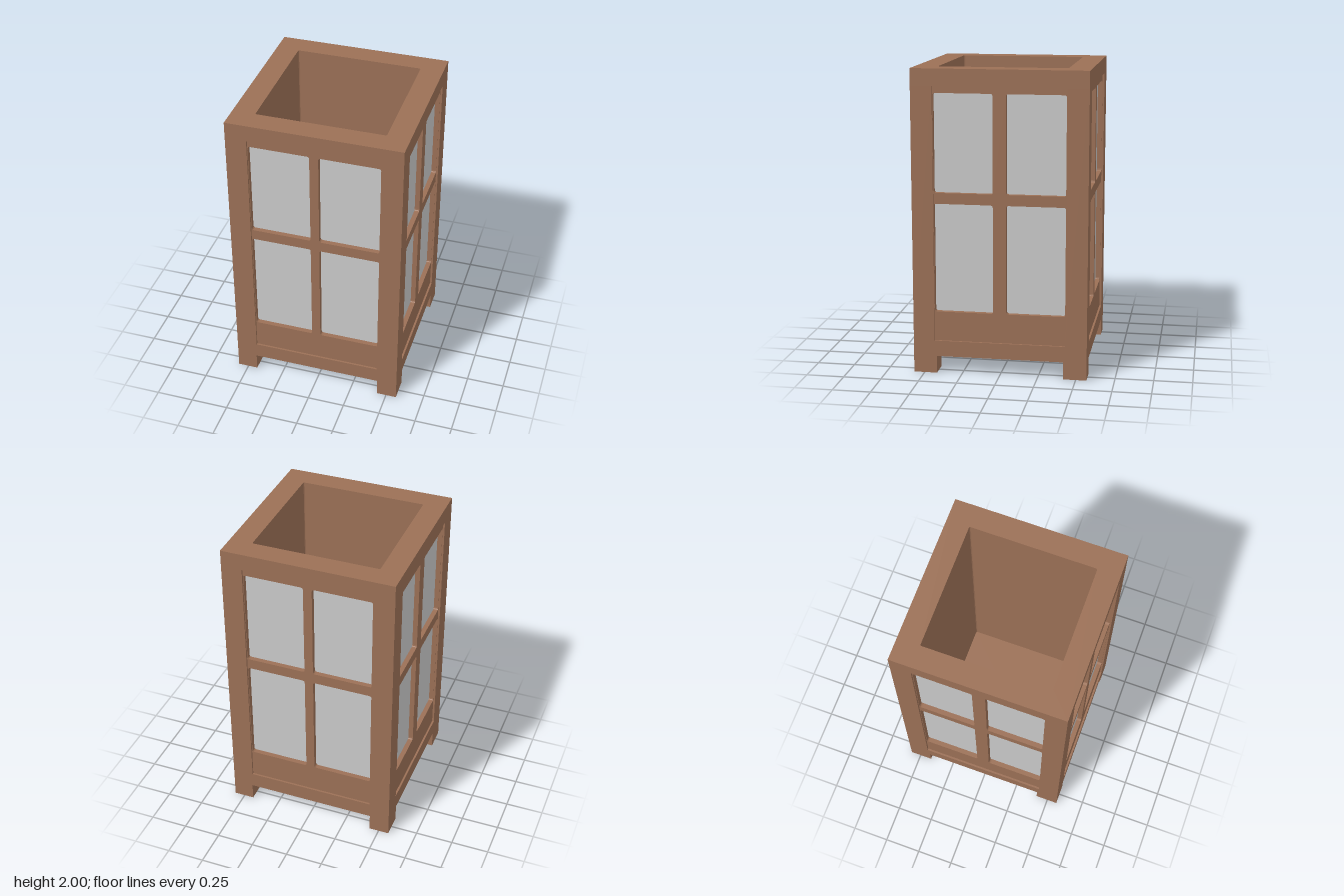
import * as THREE from 'three';

const HALF = 0.57, HOLE = 0.42, POST = 0.43;      // outer half width, cavity, inner edge of posts
const BASE_Y = 0.115, RAIL_Y = 0.22, CAP_Y = 1.89, TOP_Y = 2;
const PANEL_Z = 0.557, GLASS_Z = 0.525;           // recessed lattice face and glass face

// Rounded rectangle outline, usable as a shape or a hole
function roundedRect(x0, y0, x1, y1, r, Type = THREE.Shape) {
  const s = new Type();
  s.moveTo(x0 + r, y0);
  s.lineTo(x1 - r, y0);
  s.quadraticCurveTo(x1, y0, x1, y0 + r);
  s.lineTo(x1, y1 - r);
  s.quadraticCurveTo(x1, y1, x1 - r, y1);
  s.lineTo(x0 + r, y1);
  s.quadraticCurveTo(x0, y1, x0, y1 - r);
  s.lineTo(x0, y0 + r);
  s.quadraticCurveTo(x0, y0, x0 + r, y0);
  return s;
}

function rect(x0, y0, x1, y1) {
  const s = new THREE.Shape();
  s.moveTo(x0, y0).lineTo(x1, y0).lineTo(x1, y1).lineTo(x0, y1).closePath();
  return s;
}

// Square tube standing upright between two heights
function squareTube(half, y0, y1) {
  const s = rect(-half, -half, half, half);
  s.holes.push(roundedRect(-HOLE, -HOLE, HOLE, HOLE, 0.01, THREE.Path));
  const g = new THREE.ExtrudeGeometry(s, { depth: y1 - y0, bevelEnabled: false, curveSegments: 3 });
  return g.rotateX(-Math.PI / 2).translate(0, y0, 0);
}

export function createModel() {
  const wood = new THREE.MeshStandardMaterial({ color: 0x9b7056 });
  wood.name = 'wood';
  const pane = new THREE.MeshStandardMaterial({ color: 0xc9c9c9 });
  pane.name = 'frostedGlass';

  const model = new THREE.Group();
  model.name = 'lantern';
  const add = (parent, name, geometry, material) => {
    const m = new THREE.Mesh(geometry, material);
    m.name = name;
    parent.add(m);
    return m;
  };

  // Base slab, inner walls and top rim
  const base = add(model, 'base', new THREE.BoxGeometry(2 * HALF, RAIL_Y - BASE_Y, 2 * HALF), wood);
  base.position.y = (BASE_Y + RAIL_Y) / 2;
  add(model, 'innerWalls', squareTube(GLASS_Z - 0.006, RAIL_Y, CAP_Y), wood);
  add(model, 'topRim', squareTube(HALF, CAP_Y, TOP_Y), wood);

  // Corner posts and feet
  const postW = HALF - POST, footX = 0.135, footZ = 0.153;
  for (const sx of [-1, 1]) for (const sz of [-1, 1]) {
    const post = add(model, 'cornerPost', new THREE.BoxGeometry(postW, CAP_Y - RAIL_Y, postW), wood);
    post.position.set(sx * (HALF - postW / 2), (CAP_Y + RAIL_Y) / 2, sz * (HALF - postW / 2));
    const foot = add(model, 'foot', new THREE.BoxGeometry(footX, BASE_Y, footZ), wood);
    foot.position.set(sx * (HALF - footX / 2), BASE_Y / 2, sz * (HALF - footZ / 2));
  }

  // Four window sides; the side bars are wider than the front and back bars
  ['front', 'left', 'back', 'right'].forEach((name, i) => {
    const side = new THREE.Group();
    side.name = name + 'Window';
    side.rotation.y = i * Math.PI / 2;
    model.add(side);

    const bar = i % 2 ? 0.043 : 0.029;
    const lattice = rect(-POST, RAIL_Y, POST, CAP_Y);
    for (const [y0, y1] of [[0.415, 1.132], [1.203, 1.845]]) {
      for (const [x0, x1] of [[-0.427, -bar], [bar, 0.427]]) {
        lattice.holes.push(roundedRect(x0, y0, x1, y1, 0.015, THREE.Path));
        const w = x1 - x0 + 0.004, h = y1 - y0 + 0.02;
        const glass = add(side, 'glassPane', new THREE.BoxGeometry(w, h, 0.006), pane);
        glass.position.set((x0 + x1) / 2, (y0 + y1) / 2, GLASS_Z - 0.003);
      }
    }
    const depth = PANEL_Z - GLASS_Z;
    const geometry = new THREE.ExtrudeGeometry(lattice, { depth, bevelEnabled: false, curveSegments: 3 });
    add(side, 'lattice', geometry.translate(0, 0, GLASS_Z), wood);
  });

  return model;
}
